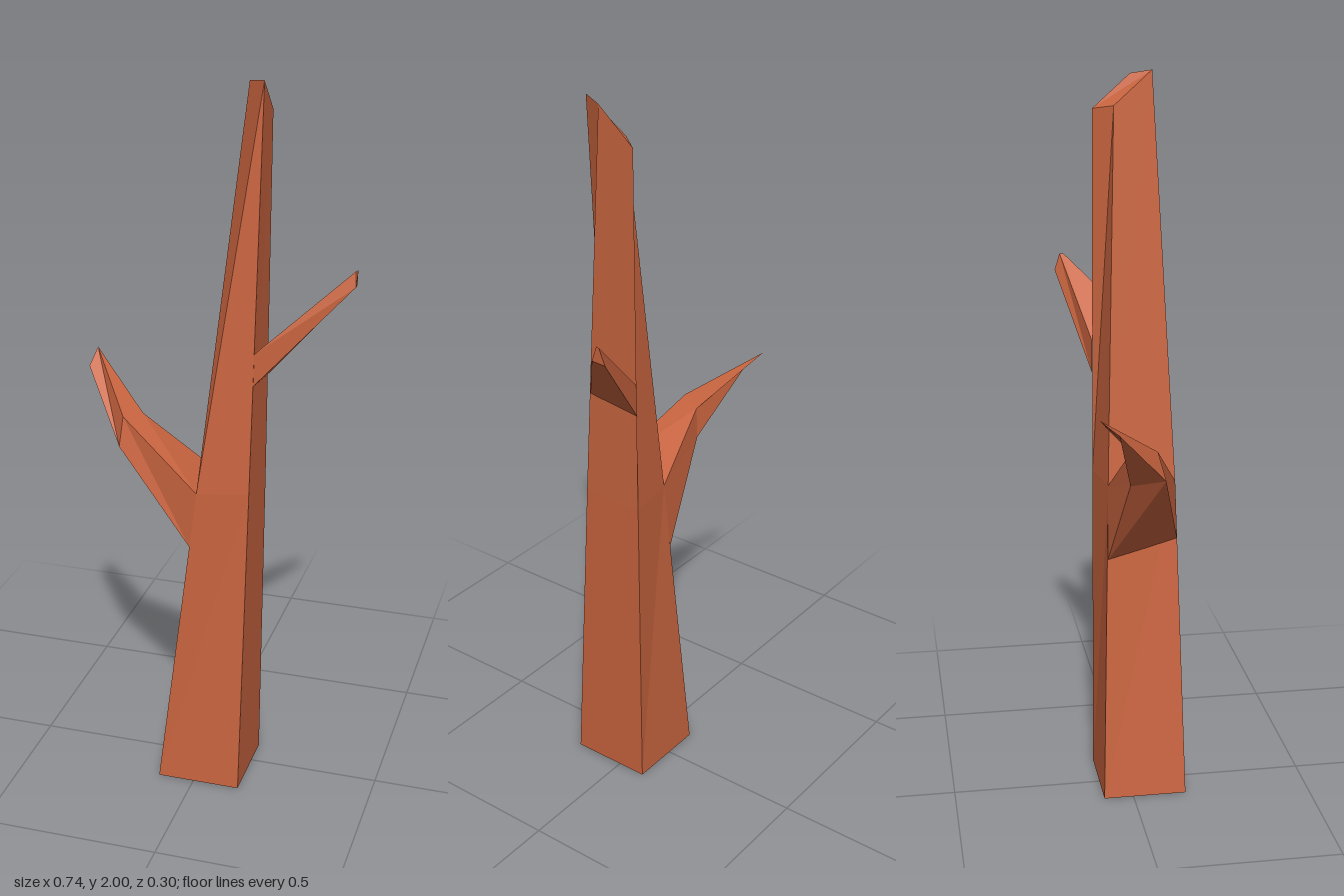
import * as THREE from 'three';

const bark = new THREE.MeshStandardMaterial({ color: 0xc8643f, flatShading: true });

// Skins a list of four-cornered rings, each counterclockwise seen from the far end.
function loft(name, rings, capStart) {
  const pos = [];
  const quad = (a, b, c, d) => pos.push(...a, ...b, ...c, ...a, ...c, ...d);
  for (let k = 0; k < rings.length - 1; k++) {
    for (let i = 0; i < 4; i++) {
      const j = (i + 1) % 4;
      quad(rings[k][i], rings[k][j], rings[k + 1][j], rings[k + 1][i]);
    }
  }
  quad(...rings[rings.length - 1]);
  if (capStart) quad(...[...rings[0]].reverse());
  const geo = new THREE.BufferGeometry();
  geo.setAttribute('position', new THREE.Float32BufferAttribute(pos, 3));
  geo.computeVertexNormals();
  const mesh = new THREE.Mesh(geo, bark);
  mesh.name = name;
  return mesh;
}

export function createModel() {
  const tree = new THREE.Group();
  tree.name = 'bareTree';

  // Leaning, tapering trunk with a slanted broken top
  tree.add(loft('trunk', [
    [[-0.103, 0, 0.15], [0.132, 0, 0.15], [0.132, 0, -0.083], [-0.103, 0, -0.083]],
    [[0.006, 0.9, 0.133], [0.142, 0.9, 0.097], [0.142, 0.9, -0.078], [-0.004, 0.9, -0.055]],
    [[0.131, 2, 0.086], [0.153, 1.99, 0.03], [0.15, 1.9, -0.072], [0.11, 1.91, -0.02]],
  ], true));

  // Short branch reaching out to +x and back
  tree.add(loft('leftBranch', [
    [[0.143, 1.2, 0.078], [0.143, 1.18, -0.077], [0.146, 1.27, -0.076], [0.146, 1.29, 0.072]],
    [[0.37, 1.435, -0.115], [0.366, 1.43, -0.152], [0.37, 1.475, -0.137], [0.366, 1.475, -0.126]],
  ]));

  // Bent branch on the -x side, ending in a narrow edge
  const tipLow = [-0.37, 1.15, -0.08], tipHigh = [-0.362, 1.19, -0.13];
  tree.add(loft('rightBranch', [
    [[-0.025, 0.69, -0.06], [-0.013, 0.74, 0.136], [0.006, 0.9, 0.133], [-0.004, 0.9, -0.055]],
    [[-0.2, 0.96, -0.025], [-0.235, 0.98, 0.064], [-0.23, 1.06, 0.042], [-0.195, 1.05, -0.024]],
    [tipLow, tipLow, tipHigh, tipHigh],
  ]));

  return tree;
}
